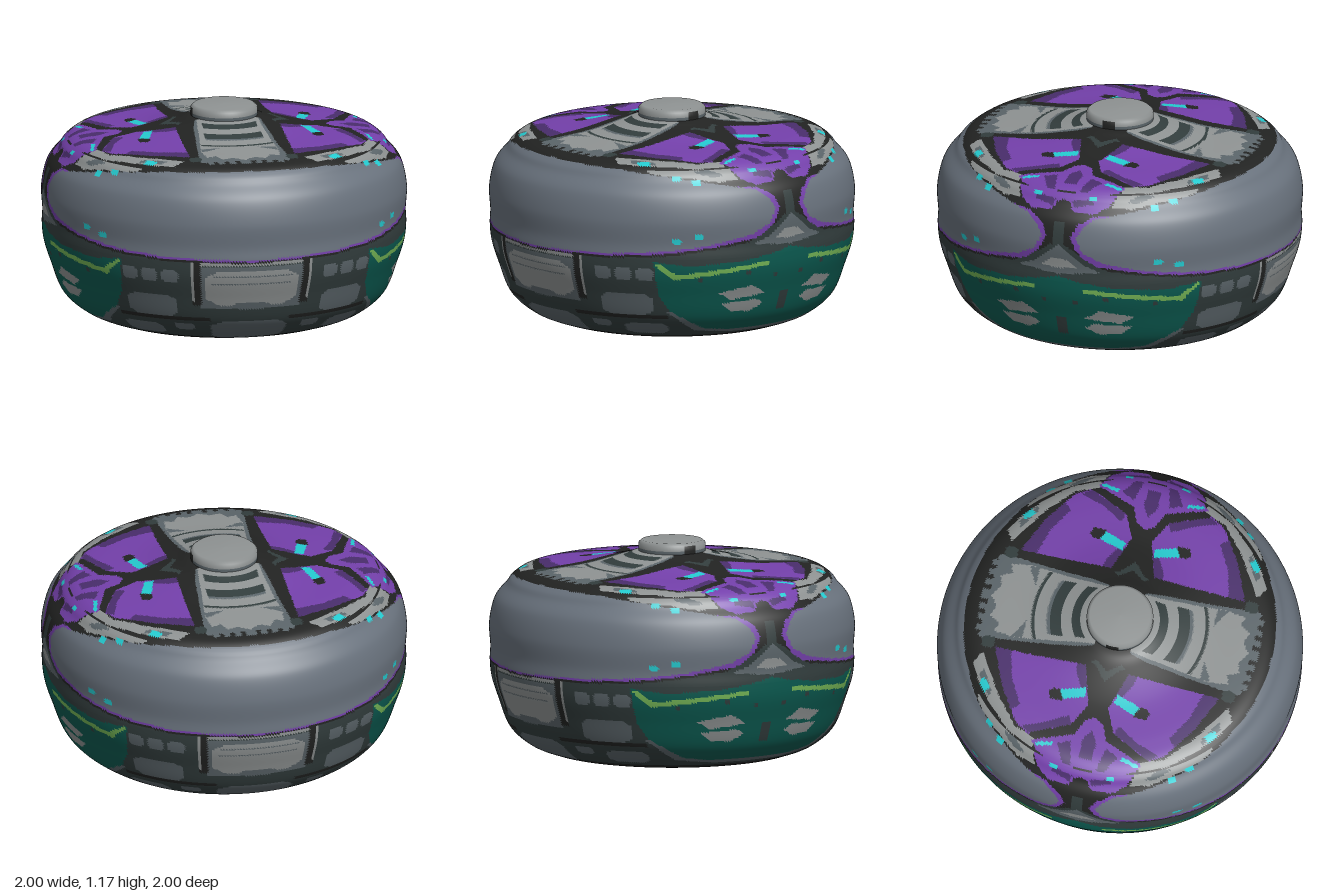
import * as THREE from 'three';

const COLOURS = {
  glassGrey: 0x69727d, lightGrey: 0x8f9393, midGrey: 0x5b656a, darkHull: 0x323d3d, black: 0x222322,
  purple: 0x7440ab, darkPurple: 0x492d6c, cyan: 0x24cbd0, green: 0x0b5a50, lime: 0x74b456,
};
const NAMES = Object.keys(COLOURS);

function inside(poly, x, y) {
  let hit = false;
  for (let i = 0, j = poly.length - 2; i < poly.length; j = i, i += 2) {
    const yi = poly[i + 1], yj = poly[j + 1];
    if ((yi > y) !== (yj > y) && x < ((poly[j] - poly[i]) * (y - yi)) / (yj - yi) + poly[i]) hit = !hit;
  }
  return hit;
}

// A paint plan: a base colour and flat patches, the last one on top
function plan(base) {
  const patches = [];
  return {
    poly(colour, ...points) { patches.push([colour, points]); },
    rect(colour, x0, x1, y0, y1) { patches.push([colour, [x0, y0, x1, y0, x1, y1, x0, y1]]); },
    // panel with cut corners
    panel(colour, x0, x1, y0, y1) {
      const c = (x1 - x0) * 0.15, d = (y1 - y0) * 0.2;
      patches.push([colour, [x0 + c, y0, x1 - c, y0, x1, y0 + d, x1, y1 - d, x1 - c, y1, x0 + c, y1, x0, y1 - d, x0, y0 + d]]);
    },
    // band between two radii, as wide as half on each side of the middle
    arc(colour, r0, r1, half) {
      const points = [];
      for (let i = 0; i <= 8; i++) { const t = (i / 8) * Math.asin(half / r0); points.push(r0 * Math.sin(t), r0 * Math.cos(t)); }
      for (let i = 8; i >= 0; i--) { const t = (i / 8) * Math.asin(half / r1); points.push(r1 * Math.sin(t), r1 * Math.cos(t)); }
      patches.push([colour, points]);
    },
    at(x, y) {
      for (let i = patches.length - 1; i >= 0; i--) if (inside(patches[i][1], x, y)) return patches[i][0];
      return base;
    },
  };
}

// Side plan: degrees from the front or back centre (0) to the flank (90), and height
function sidePlan() {
  const s = plan('darkHull');
  // lower hull rim and plating
  s.rect('black', 0, 90, -0.1, 0.03);
  s.panel('midGrey', -14, 14, 0.012, 0.15);
  s.rect('black', 14, 48, 0.155, 0.175);
  s.panel('midGrey', 20, 27, 0.09, 0.135);
  s.panel('midGrey', 32, 48, 0.05, 0.12);
  s.panel('midGrey', 25, 43, 0.175, 0.3);
  for (let i = 0; i < 3; i++) s.panel('midGrey', 24 + i * 7, 29.5 + i * 7, 0.385, 0.45);
  // front and back vent panel
  s.rect('midGrey', 0, 17, 0.235, 0.475);
  s.panel('lightGrey', -15.5, 15.5, 0.25, 0.455);
  s.rect('midGrey', 0, 13, 0.415, 0.425);
  s.rect('midGrey', 0, 13, 0.375, 0.385);
  s.panel('midGrey', -6, 6, 0.225, 0.265);
  s.rect('lightGrey', 0, 18, 0.485, 0.5);
  s.rect('black', 16.7, 20, 0.25, 0.515);
  s.rect('lightGrey', 19, 20, 0.27, 0.5);
  // green flank panel
  s.poly('midGrey', 47, 0.2, 58, 0.07, 75, 0.045, 90, 0.045, 90, 0.1, 55, 0.2);
  s.poly('green', 43.5, 0.49, 45, 0.3, 48.7, 0.2, 61, 0.085, 72, 0.065, 90, 0.065, 90, 0.535, 84, 0.51, 72, 0.48, 55, 0.465);
  s.poly('lime', 82, 0.47, 51, 0.415, 45, 0.485, 43.8, 0.475, 50, 0.385, 82, 0.445);
  s.poly('lightGrey', 65, 0.3, 76.6, 0.335, 82, 0.28, 69.7, 0.255);
  s.poly('lightGrey', 66, 0.235, 79, 0.25, 82, 0.22, 77, 0.18, 70, 0.185);
  s.rect('darkHull', 88.3, 90.1, 0.17, 0.28);
  for (const [a, y] of [[58, 0.37], [74, 0.4], [84, 0.37]]) s.rect('darkHull', a, a + 1.6, y, y + 0.022);
  // dark frame around the glass
  s.poly('black', 0, 0.497, 25, 0.502, 48, 0.523, 62, 0.552, 74, 0.58, 80, 0.63, 87, 0.71, 90, 0.73, 90, 0.99, 0, 0.99);
  s.poly('darkHull', 88, 0.72, 90.1, 0.72, 90.1, 0.84, 88, 0.84);
  s.poly('midGrey', 90.1, 0.72, 87, 0.68, 81, 0.6, 76, 0.57, 90.1, 0.545);
  s.poly('lightGrey', 90.1, 0.64, 87, 0.63, 84, 0.59, 90.1, 0.58);
  // flank above the glass
  s.poly('lightGrey', 38, 0.99, 42, 0.955, 55, 0.937, 66, 0.91, 73, 0.92, 70, 0.99);
  s.poly('midGrey', 57, 0.965, 64, 0.935, 68, 0.945, 62, 0.975);
  s.poly('purple', 70, 0.99, 74, 0.92, 79, 0.885, 85, 0.89, 90.1, 0.915, 90.1, 0.99);
  s.poly('darkPurple', 79, 0.93, 86, 0.91, 87, 0.94, 80, 0.955);
  s.poly('black', 86, 0.88, 90.1, 0.88, 90.1, 0.945, 87.5, 0.93);
  s.rect('cyan', 78, 81, 0.95, 0.965);
  // purple trim and the big glass band
  s.poly('purple', 0, 0.506, 25, 0.513, 48, 0.536, 62.5, 0.565, 72, 0.592, 77, 0.6, 82, 0.65, 84, 0.69, 86, 0.76, 84, 0.83, 79, 0.875, 60, 0.9, 0, 0.9);
  s.poly('glassGrey', 0, 0.982, 30, 0.972, 50, 0.94, 60, 0.915, 68, 0.895, 78, 0.865, 82, 0.82, 84.3, 0.76,
    82, 0.68, 75.5, 0.625, 62.5, 0.58, 48, 0.55, 25, 0.525, 0, 0.516);
  for (const [a, y] of [[51, 0.605], [58, 0.63], [51, 0.935], [58, 0.915]]) s.panel('cyan', a - 1.6, a + 1.6, y - 0.014, y + 0.014);
  return s;
}

// Roof plan: distance across and distance to the front or back
function roofPlan() {
  const r = plan('black');
  // grey edge plates
  r.poly('lightGrey', 0.33, 0.69, 0.4, 0.73, 0.5, 0.67, 0.62, 0.57, 0.73, 0.45, 0.8, 0.3, 0.76, 0.28, 0.7, 0.42, 0.55, 0.55);
  r.poly('midGrey', 0.42, 0.66, 0.54, 0.59, 0.57, 0.6, 0.46, 0.68);
  r.poly('cyan', 0.47, 0.65, 0.52, 0.6, 0.55, 0.63, 0.5, 0.67);
  // large purple plates
  r.poly('purple', 0.29, 0.12, 0.29, 0.63, 0.5, 0.54, 0.68, 0.42, 0.73, 0.34, 0.69, 0.25, 0.63, 0.12, 0.5, 0.055);
  r.poly('darkPurple', 0.29, 0.63, 0.5, 0.54, 0.62, 0.46, 0.58, 0.42, 0.44, 0.5, 0.29, 0.54);
  r.poly('darkPurple', 0.63, 0.12, 0.73, 0.34, 0.69, 0.38, 0.65, 0.26, 0.58, 0.14);
  r.poly('darkPurple', 0.29, 0.12, 0.42, 0.08, 0.42, 0.115, 0.34, 0.16, 0.29, 0.17);
  r.poly('black', 0.45, 0.2, 0.51, 0.2, 0.51, 0.27, 0.47, 0.285, 0.45, 0.26);
  r.poly('cyan', 0.41, 0.09, 0.46, 0.08, 0.5, 0.2, 0.45, 0.225);
  // outer purple fin
  r.poly('purple', 0.56, 0, 0.59, 0.05, 0.68, 0.09, 0.76, 0.31, 0.8, 0.28, 0.88, 0.13, 0.9, 0, 0.9, -0.01, 0.56, -0.01);
  r.poly('darkPurple', 0.62, -0.01, 0.8, -0.01, 0.8, 0.035, 0.7, 0.04);
  r.poly('darkPurple', 0.72, 0.1, 0.85, 0.07, 0.84, 0.12, 0.75, 0.17);
  r.poly('cyan', 0.745, 0.19, 0.765, 0.19, 0.785, 0.28, 0.765, 0.29);
  r.rect('black', 0.85, 1, -0.01, 0.05);
  // dark gusset beside the cap
  r.poly('darkHull', 0.27, 0.1, 0.28, 0.07, 0.37, -0.01, 0.31, -0.01, 0.25, 0.07);
  // grey spine with ribs and a toothed end
  r.poly('midGrey', -0.01, 0.1, 0.18, 0.1, 0.2, 0.2, 0.25, 0.72, 0.22, 0.76, -0.01, 0.78);
  r.poly('lightGrey', -0.01, 0.1, 0.17, 0.1, 0.185, 0.28, 0.215, 0.55, 0.2, 0.66, 0.15, 0.64, 0.12, 0.7, 0.06, 0.68, -0.01, 0.73);
  r.arc('darkHull', 0.215, 0.265, 0.15);
  r.arc('darkHull', 0.325, 0.385, 0.16);
  r.arc('midGrey', 0.385, 0.4, 0.16);
  r.arc('darkHull', 0.465, 0.485, 0.2);
  r.poly('midGrey', 0.1, 0.5, 0.21, 0.5, 0.21, 0.56, 0.16, 0.53);
  for (let i = 0; i < 4; i++) r.rect('black', 0.03 + i * 0.06, 0.055 + i * 0.06, 0.735, 0.8);
  r.panel('darkHull', 0.235, 0.3, 0.64, 0.71);
  return r;
}

// Turn a profile and sort its faces into one geometry group per colour
function paintedLathe(name, profile, segments, materials, pick) {
  const geometry = new THREE.LatheGeometry(profile, segments);
  const pos = geometry.attributes.position, index = geometry.index.array;
  const bins = NAMES.map(() => []);
  for (let i = 0; i < index.length; i += 3) {
    const [a, b, c] = [index[i], index[i + 1], index[i + 2]];
    const x = Math.abs(pos.getX(a) + pos.getX(b) + pos.getX(c)) / 3;
    const y = (pos.getY(a) + pos.getY(b) + pos.getY(c)) / 3;
    const z = Math.abs(pos.getZ(a) + pos.getZ(b) + pos.getZ(c)) / 3;
    bins[NAMES.indexOf(pick(x, y, z))].push(a, b, c);
  }
  geometry.setIndex(bins.flat());
  let start = 0;
  const used = [];
  bins.forEach((bin, i) => {
    if (!bin.length) return;
    geometry.addGroup(start, bin.length, used.length);
    used.push(materials[i]);
    start += bin.length;
  });
  const mesh = new THREE.Mesh(geometry, used);
  mesh.name = name;
  return mesh;
}

export function createModel() {
  const model = new THREE.Group();
  model.name = 'domedShell';
  const materials = NAMES.map((name) => {
    const m = new THREE.MeshStandardMaterial({ color: COLOURS[name], side: THREE.DoubleSide });
    m.name = name;
    return m;
  });
  const v = (x, y) => new THREE.Vector2(x, y);

  // Shell profile from the open bottom up to the cap
  const curve = new THREE.SplineCurve([
    v(0.64, 0), v(0.69, 0.012), v(0.79, 0.053), v(0.89, 0.145), v(0.952, 0.305), v(0.985, 0.41), v(0.995, 0.5),
    v(0.992, 0.58), v(0.998, 0.71), v(0.968, 0.84), v(0.905, 0.92), v(0.875, 0.96), v(0.81, 1.0),
    v(0.7, 1.018), v(0.47, 1.037), v(0.28, 1.075), v(0.21, 1.097), v(0.17, 1.105),
  ]);
  const points = curve.getSpacedPoints(155);
  const hullTop = points.findIndex((p) => p.y > 0.495);
  const roofStart = points.findIndex((p) => p.y > 0.965);
  const side = sidePlan(), roof = roofPlan();
  const onSide = (x, y, z) => side.at(THREE.MathUtils.radToDeg(Math.atan2(x, z)), y);
  // the glass reaches over the shoulder onto the roof edge
  const onRoof = (x, y, z) => (y < 0.985 && onSide(x, y, z) === 'glassGrey' ? 'glassGrey' : roof.at(x, z));

  model.add(paintedLathe('lowerHull', points.slice(0, hullTop + 1), 400, materials, onSide));
  model.add(paintedLathe('glassBand', points.slice(hullTop, roofStart + 1), 400, materials, onSide));
  model.add(paintedLathe('roof', points.slice(roofStart), 400, materials, onRoof));

  // Round cap with a dark slot on each flank
  const cap = [v(0.18, 1.08), v(0.183, 1.1), v(0.183, 1.12), v(0.182, 1.148), v(0.165, 1.162), v(0, 1.166)];
  model.add(paintedLathe('cap', cap, 64, materials, (x, y, z) => {
    if (y > 1.15) return 'lightGrey';
    return z < 0.035 ? 'black' : y < 1.12 ? 'midGrey' : 'lightGrey';
  }));
  return model;
}
